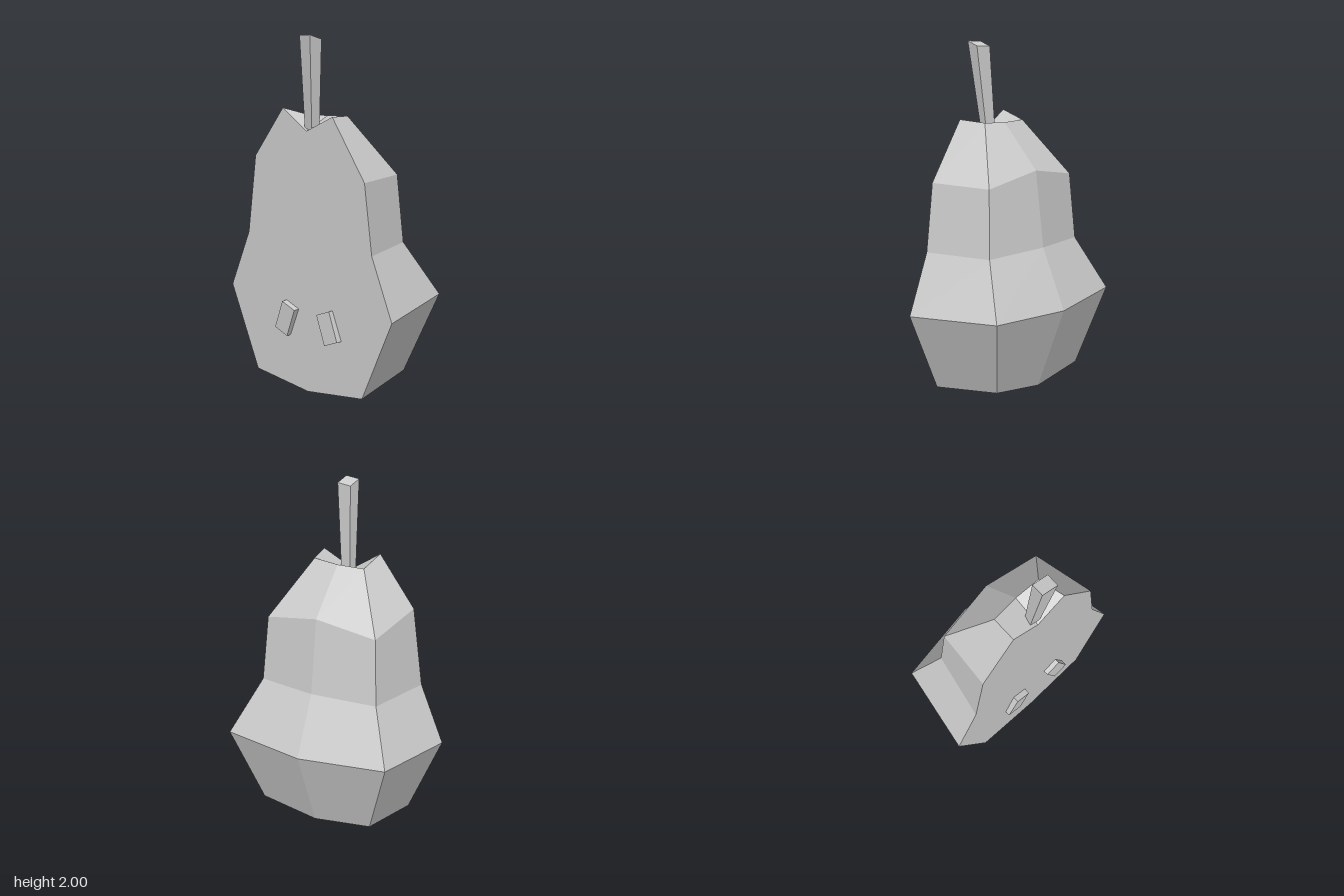
import * as THREE from 'three';

const CUT = -0.28; // x of the flat cut face

// Geometry from a list of quads (corners counter-clockwise), one flat normal per quad
function quadGeometry(quads) {
  const pos = [], nor = [];
  for (const [a, b, c, d] of quads) {
    const v = [a, b, c, d].map(p => new THREE.Vector3(...p));
    const n = v[2].sub(v[0]).cross(v[3].sub(v[1])).normalize().toArray();
    for (const p of [a, b, c, a, c, d]) {
      pos.push(...p);
      nor.push(...n);
    }
  }
  const g = new THREE.BufferGeometry();
  g.setAttribute('position', new THREE.Float32BufferAttribute(pos, 3));
  g.setAttribute('normal', new THREE.Float32BufferAttribute(nor, 3));
  return g;
}

// Quads joining two rows of points, lower to upper
const band = (lo, hi) => lo.slice(1).map((p, i) => [lo[i], p, hi[i + 1], hi[i]]);

export function createModel() {
  const group = new THREE.Group();
  const material = new THREE.MeshStandardMaterial({ color: 0xcccccc });
  const add = (name, geometry, parent = group) => {
    const mesh = new THREE.Mesh(geometry, material);
    mesh.name = name;
    parent.add(mesh);
    return mesh;
  };

  // Half rings from the front of the cut, around the outside, to the back
  const rings = [
    [[CUT, 0.05, 0.4], [0.14, 0.1, 0.355], [0.14, 0.05, 0], [0.13, 0.1, -0.36], [CUT, 0.05, -0.4]],
    [[CUT, 0.515, 0.605], [0.272, 0.548, 0.5], [0.325, 0.53, 0], [0.24, 0.548, -0.51], [CUT, 0.525, -0.605]],
    [[CUT, 0.855, 0.465], [0.105, 0.855, 0.37], [0.175, 0.87, 0], [0.105, 0.855, -0.375], [CUT, 0.86, -0.46]],
    [[CUT, 1.24, 0.413], [0.08, 1.235, 0.343], [0.12, 1.3, 0], [0.08, 1.235, -0.35], [CUT, 1.31, -0.397]],
    [[CUT, 1.57, 0.187], [-0.12, 1.56, 0.155], [-0.11, 1.55, 0], [-0.12, 1.55, -0.163], [CUT, 1.595, -0.178]],
  ];
  const base = [CUT, 0, 0], dip = [CUT, 1.48, 0];

  // Skin of the half pear, with its base and sunken top
  const skin = rings.slice(1).flatMap((ring, i) => band(rings[i], ring));
  for (const i of [0, 2]) {
    const [b0, b1, b2] = rings[0].slice(i);
    skin.push([base, b2, b1, b0], [dip, ...rings[4].slice(i, i + 3)]);
  }
  add('pearSkin', quadGeometry(skin));

  // Flat cut face
  const outline = [base, ...rings.map(r => r[4]), dip, ...rings.map(r => r[0]).reverse()];
  const shape = new THREE.Shape(outline.map(([, y, z]) => new THREE.Vector2(z, y)));
  add('cutFace', new THREE.ShapeGeometry(shape).rotateY(-Math.PI / 2).translate(CUT, 0, 0));

  // Two seeds leaning towards each other
  const seeds = new THREE.Group();
  seeds.name = 'seeds';
  group.add(seeds);
  for (const side of [-1, 1]) {
    const seed = add(side < 0 ? 'backSeed' : 'frontSeed', new THREE.BoxGeometry(0.065, 0.175, 0.1), seeds);
    seed.position.set(CUT, 0.407, side < 0 ? -0.147 : 0.172);
    seed.rotation.set(-side * 0.38, 0, -side * 0.04);
  }

  // Four-sided stem, widening and leaning towards its top
  const foot = [[-0.265, 1.47, 0.025], [-0.215, 1.47, 0.035], [-0.205, 1.47, -0.025], [-0.255, 1.47, -0.035]];
  const tip = [[-0.325, 2, 0.07], [-0.245, 1.975, 0.08], [-0.23, 1.97, -0.01], [-0.31, 1.995, -0.02]];
  const closed = r => [...r, r[0]];
  add('stem', quadGeometry([...band(closed(foot), closed(tip)), tip, [...foot].reverse()]));

  return group;
}
